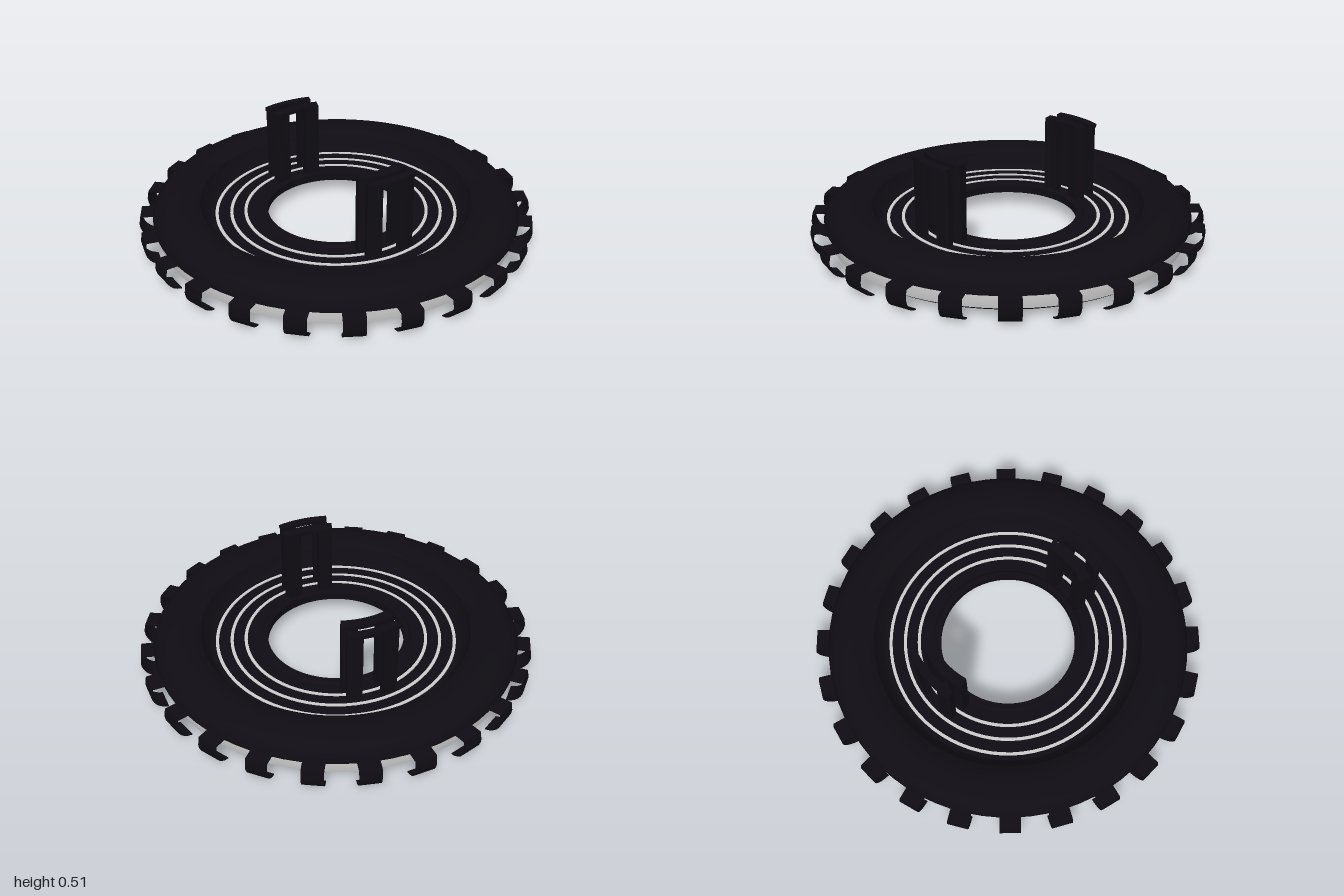
import * as THREE from 'three';
import { toCreasedNormals } from 'three/addons/utils/BufferGeometryUtils.js';

const dark = new THREE.MeshStandardMaterial({ color: 0x0f0d13 });
const grey = new THREE.MeshStandardMaterial({ color: 0xcccccc });

function part(name, geometry, material) {
  const mesh = new THREE.Mesh(geometry, material);
  mesh.name = name;
  return mesh;
}

// Closed ring turned from an (r, y) section, listed anticlockwise
function ring(section) {
  const points = [...section, section[0]].map(([r, y]) => new THREE.Vector2(r, y));
  return toCreasedNormals(new THREE.LatheGeometry(points, 72), 0.5);
}

// Curved block following the ring, from x0 to x1 along the arc, facing +z
function arcBlock(r0, r1, x0, x1, y0, y1) {
  const r = (r0 + r1) / 2;
  const a0 = -Math.PI / 2 + Math.asin(x0 / r);
  const a1 = -Math.PI / 2 + Math.asin(x1 / r);
  const shape = new THREE.Shape();
  shape.absarc(0, 0, r1, a0, a1, false);
  shape.absarc(0, 0, r0, a1, a0, true);
  const geometry = new THREE.ExtrudeGeometry(shape, { depth: y1 - y0, bevelEnabled: false, curveSegments: 5 });
  return geometry.rotateX(-Math.PI / 2).translate(0, y0, 0);
}

// Upright frame of an inner and an outer curved wall, each with a tall opening
function createHandle() {
  const handle = new THREE.Group();
  handle.name = 'handle';
  for (const [r0, r1, lip] of [[0.392, 0.443, 0.003], [0.478, 0.511, 0.008]]) {
    for (const [x0, x1] of [[-0.126, -0.052], [0.052, 0.126]]) {
      handle.add(part('handlePost', arcBlock(r0, r1, x0, x1, 0.108, 0.49), dark));
    }
    handle.add(part('handleLintel', arcBlock(r0, r1 + lip, -0.126, 0.126, 0.49, 0.51), dark));
  }
  return handle;
}

// Thin C-shaped clip that hooks around the rim
function clipGeometry() {
  const width = 0.105;
  const s = new THREE.Shape();
  s.moveTo(0.91, 0.135);
  s.lineTo(0.992, 0.135);
  s.lineTo(1.0, 0.09);
  s.bezierCurveTo(0.998, 0.045, 0.97, 0.008, 0.92, 0);
  s.lineTo(0.92, 0.006);
  s.bezierCurveTo(0.966, 0.014, 0.993, 0.048, 0.994, 0.09);
  s.lineTo(0.987, 0.129);
  s.lineTo(0.91, 0.129);
  s.closePath();
  const geometry = new THREE.ExtrudeGeometry(s, { depth: width, bevelEnabled: false, curveSegments: 6 });
  return toCreasedNormals(geometry.translate(0, 0, -width / 2), 0.6);
}

export function createModel() {
  const model = new THREE.Group();
  model.name = 'ringWheel';

  // Body with a rounded shoulder, a flat sunken plate and a collar round the hole
  model.add(part('body', ring([
    [0.35, 0.08], [0.65, 0.08], [0.72, 0.072], [0.85, 0.03], [0.88, 0.03], [0.905, 0.05],
    [0.905, 0.12], [0.93, 0.122], [0.93, 0.14], [0.915, 0.168], [0.89, 0.19], [0.85, 0.208],
    [0.79, 0.215], [0.73, 0.213], [0.69, 0.19], [0.66, 0.125], [0.64, 0.11], [0.39, 0.11],
    [0.38, 0.12], [0.35, 0.12],
  ]), dark));

  // Light band around the recessed edge
  model.add(part('rimBand', ring([[0.89, 0.05], [0.908, 0.05], [0.914, 0.085], [0.912, 0.121], [0.89, 0.121]]), grey));

  // Light rings let through the plate
  for (const r of [0.463, 0.535, 0.61]) {
    model.add(part('inlayRing', ring([
      [r - 0.008, 0.076], [r + 0.008, 0.076], [r + 0.008, 0.114], [r - 0.008, 0.114],
    ]), grey));
  }

  // Clips spaced evenly around the rim
  const clip = clipGeometry();
  const count = 24;
  for (let i = 0; i < count; i++) {
    const mesh = part('rimClip', clip, dark);
    mesh.rotation.y = (i / count) * Math.PI * 2 + THREE.MathUtils.degToRad(3.5);
    model.add(mesh);
  }

  // Handles at the front and back
  for (const turn of [0, Math.PI]) {
    const handle = createHandle();
    handle.rotation.y = turn;
    model.add(handle);
  }
  return model;
}
